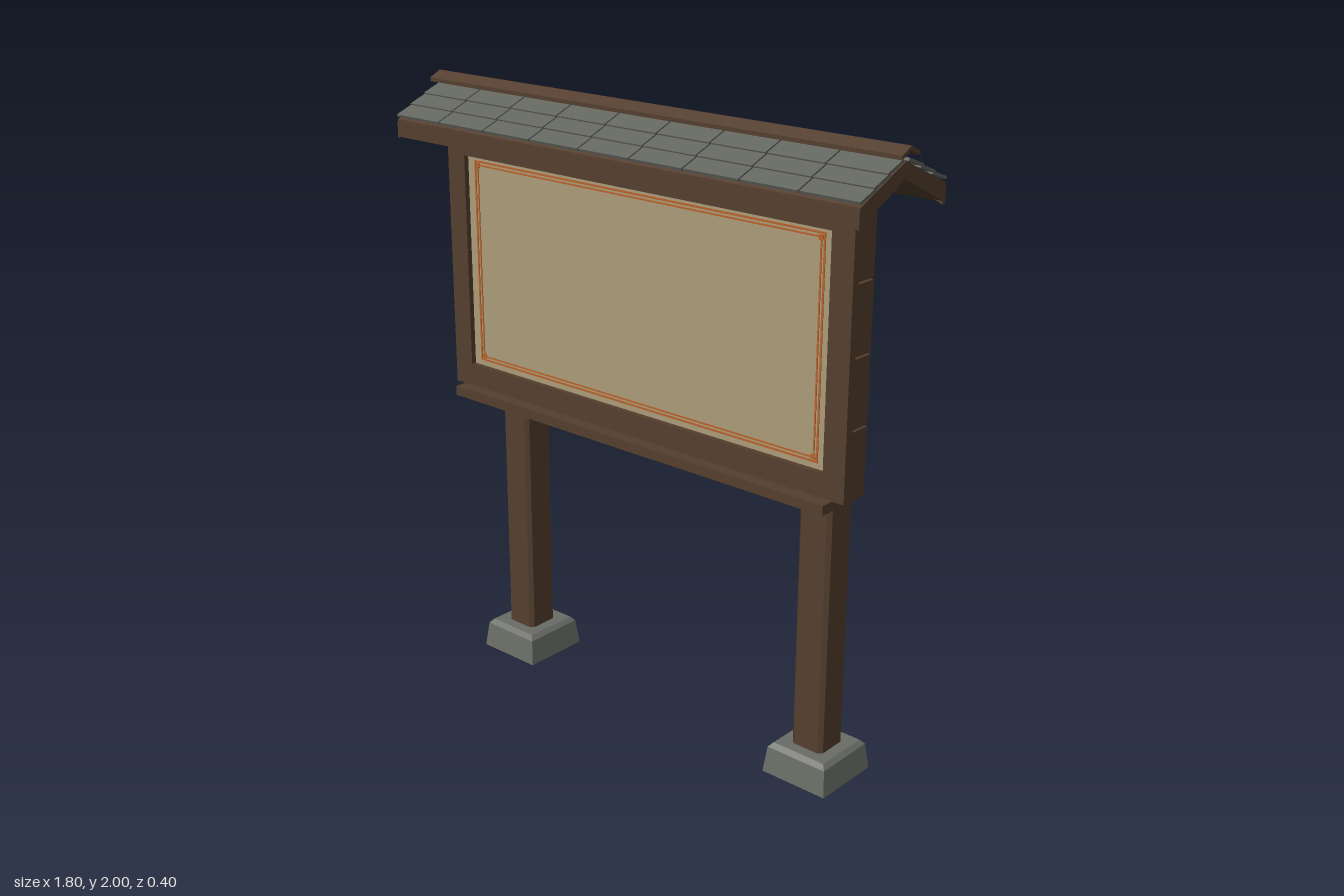
import * as THREE from 'three';

const mat = (name, color, extra = {}) => {
  const m = new THREE.MeshStandardMaterial({ color, ...extra });
  m.name = name;
  return m;
};

export function createModel() {
  const wood = mat('brown wood', 0x543f2f);
  const tile = mat('grey roof tile', 0x63655f);
  const stone = mat('grey stone', 0x6a6c66, { side: THREE.DoubleSide });
  const paper = mat('tan notice panel', 0xac9b78);
  const orange = mat('orange trim', 0xb8622c);

  const model = new THREE.Group();
  model.name = 'noticeBoard';

  const add = (name, geo, material, parent = model) => {
    const mesh = new THREE.Mesh(geo, material);
    mesh.name = name;
    parent.add(mesh);
    return mesh;
  };
  // Box given by its limits on each axis
  const box = (name, x0, x1, y0, y1, z0, z1, material, parent) => {
    const mesh = add(name, new THREE.BoxGeometry(x1 - x0, y1 - y0, z1 - z0), material, parent);
    mesh.position.set((x0 + x1) / 2, (y0 + y1) / 2, (z0 + z1) / 2);
    return mesh;
  };
  const outline = (pts) => new THREE.Shape(pts.map((p) => new THREE.Vector2(...p)));
  // Profile of (z, y) points swept along x from -half to +half
  const sweepX = (name, pts, half, material, parent) => {
    const geo = new THREE.ExtrudeGeometry(outline(pts), { depth: 2 * half, bevelEnabled: false });
    geo.translate(0, 0, -half).rotateY(-Math.PI / 2).scale(1, 1, 1);
    geo.rotateY(Math.PI); // shape x now runs along -z; the profiles are symmetric
    return add(name, geo, material, parent);
  };
  // Flat rectangular ring facing +z
  const ring = (name, w, h, t, cy, z, depth, material, parent) => {
    const rect = (a, b) => [[-a, -b], [a, -b], [a, b], [-a, b]];
    const shape = outline(rect(w, h));
    shape.holes.push(outline(rect(w - t, h - t)));
    const geo = new THREE.ExtrudeGeometry(shape, { depth, bevelEnabled: false });
    return add(name, geo.translate(0, cy, z), material, parent);
  };

  // Posts with chamfered corners on hollow stone footings
  const a = 0.0575, c = 0.045;
  for (const x of [-0.624, 0.62]) {
    const side = x > 0 ? 'left' : 'right';
    const postGeo = new THREE.ExtrudeGeometry(
      outline([[-c, -a], [c, -a], [a, -c], [a, c], [c, a], [-c, a], [-a, c], [-a, -c]]),
      { depth: 1.755, bevelEnabled: false });
    postGeo.rotateX(-Math.PI / 2);
    add(side + 'Post', postGeo, wood).position.set(x, 0.09, -0.079);

    const profile = [[0.117, 0], [0.107, 0.085], [0.094, 0.1], [0, 0.1]]
      .map(([r, y]) => new THREE.Vector2(r * Math.SQRT2, y));
    const foot = new THREE.LatheGeometry(profile, 4).rotateY(Math.PI / 4).toNonIndexed();
    foot.computeVertexNormals();
    add(side + 'Footing', foot, stone).position.set(x, 0, -0.079);
  }
  box('postTopBeam', -0.74, 0.74, 1.838, 1.864, -0.13, -0.005, wood);

  // Board: four back planks with seams, front frame, recessed panel
  const board = new THREE.Group();
  board.name = 'board';
  model.add(board);
  const plankH = (1.835 - 0.99) / 4;
  for (let i = 0; i < 4; i++) {
    const y = 0.99 + i * plankH;
    box('backPlank', -0.79, 0.79, y + (i ? 0.003 : 0), y + plankH - (i < 3 ? 0.003 : 0), -0.02, 0.05, wood, board);
  }
  ring('frame', 0.79, 0.4225, 0.075, 1.4125, 0.05, 0.027, wood, board);
  box('noticePanel', -0.72, 0.72, 1.05, 1.78, 0.048, 0.06, paper, board);
  const cy = 1.415;
  ring('outerBorder', 0.685, 0.332, 0.006, cy, 0.06, 0.002, orange, board);
  ring('innerBorder', 0.673, 0.32, 0.005, cy, 0.06, 0.002, orange, board);
  for (const sx of [-1, 1]) for (const sy of [-1, 1]) {
    const x = sx * 0.669, y = cy + sy * 0.316;
    box('borderCorner', x - 0.008, x + 0.008, y - 0.008, y + 0.008, 0.06, 0.062, orange, board);
  }
  box('sill', -0.75, 0.75, 0.96, 0.991, 0.045, 0.12, wood, board);

  // Roof: gabled deck
  const roof = new THREE.Group();
  roof.name = 'roof';
  model.add(roof);
  sweepX('roofDeck', [[-0.196, 1.815], [0, 1.91], [0.196, 1.815], [0.196, 1.87], [0, 1.957], [-0.196, 1.87]],
    0.885, wood, roof);

  // Scalloped eave boards
  const eave = new THREE.Shape();
  eave.moveTo(0.885, 1.865);
  eave.lineTo(-0.885, 1.865);
  eave.lineTo(-0.885, 1.81);
  eave.quadraticCurveTo(-0.84, 1.832, -0.77, 1.832);
  for (let i = 0; i < 7; i++) {
    const x = -0.77 + i * 0.22;
    eave.quadraticCurveTo(x + 0.11, 1.803, x + 0.22, 1.832);
  }
  eave.quadraticCurveTo(0.84, 1.832, 0.885, 1.81);
  for (const s of [-1, 1]) {
    const geo = new THREE.ExtrudeGeometry(eave, { depth: 0.014, bevelEnabled: false, curveSegments: 6 });
    add(s > 0 ? 'frontEaveBoard' : 'backEaveBoard', geo, wood, roof).position.z = s > 0 ? 0.185 : -0.199;
  }

  // Tiles: three overlapping rows of nine on each slope
  const slope = Math.atan2(0.09, 0.196);
  for (const s of [-1, 1]) for (let row = 0; row < 3; row++) for (let col = 0; col < 9; col++) {
    const t = add('roofTile', new THREE.BoxGeometry(0.192, 0.009, 0.074), tile, roof);
    const z = 0.163 - row * 0.058;
    t.position.set((col - 4) * 0.1975, 1.973 - z * 0.459 - 0.004, s * z);
    t.rotation.x = s * (slope - 0.07);
  }

  // Ridge cap
  sweepX('ridgeCap', [[-0.042, 1.968], [0, 1.987], [0.042, 1.968], [0.042, 1.98], [0, 2], [-0.042, 1.98]],
    0.9, wood, roof);

  return model;
}
